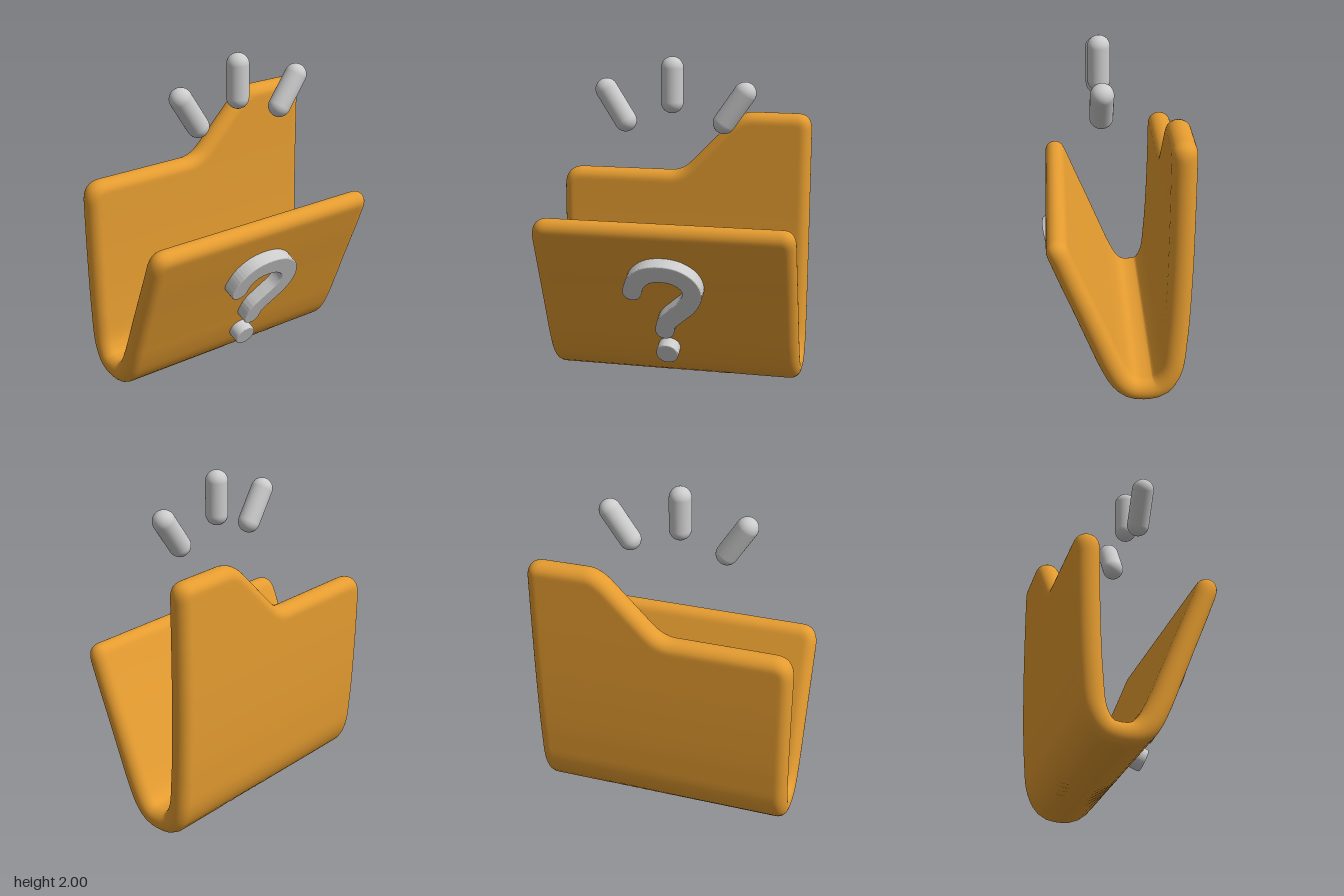
import * as THREE from 'three';
import { mergeVertices } from 'three/addons/utils/BufferGeometryUtils.js';

const X = 0.793;      // half width of the folder
const EDGE = 0.066;   // rounding of the sheet's rim
const orange = new THREE.MeshStandardMaterial({ color: 0xe59c30 });
const grey = new THREE.MeshStandardMaterial({ color: 0xcccccc });

function addMesh(parent, name, geometry, material) {
  const mesh = new THREE.Mesh(geometry, material);
  mesh.name = name;
  parent.add(mesh);
  return mesh;
}

// Side profile of the folded sheet, from the front rim round to the back rim (z, y)
function foldCurve() {
  const pts = [[0.36, 1.05], [0.27, 0.82], [0.184, 0.61], [0.1, 0.4], [0.038, 0.25], [-0.025, 0.135],
    [-0.085, 0.085], [-0.16, 0.074], [-0.245, 0.095], [-0.305, 0.19], [-0.332, 0.4],
    [-0.35, 0.8], [-0.355, 1.2], [-0.355, 1.632]];
  const curve = new THREE.CatmullRomCurve3(pts.map(([z, y]) => new THREE.Vector3(0, y, z)));
  curve.arcLengthDivisions = 600;
  return curve;
}

// Flat outline of the sheet: x across, s along the fold; the far end carries the tab
function sheetOutline(L) {
  const s = y => L - (1.632 - y);
  const o = new THREE.Shape();
  o.moveTo(-X + 0.1, 0);
  o.lineTo(X - 0.08, 0);
  o.quadraticCurveTo(X, 0, X, 0.1);
  o.lineTo(X, s(1.53));
  o.quadraticCurveTo(X, s(1.63), X - 0.09, s(1.63));
  o.lineTo(0.43, s(1.632));
  o.quadraticCurveTo(0.355, s(1.632), 0.28, s(1.555));
  o.lineTo(0.04, s(1.31));
  o.quadraticCurveTo(-0.02, s(1.25), -0.09, s(1.25));
  o.lineTo(-X + 0.12, s(1.25));
  o.quadraticCurveTo(-X, s(1.25), -X, s(1.12));
  o.lineTo(-X, 0.13);
  o.quadraticCurveTo(-X, 0, -X + 0.1, 0);
  return o.getPoints(14);
}

// Positions from a to b, crowded towards both ends
function crowded(a, b, margin, nEnd, nMid) {
  const out = [];
  for (let i = 0; i < nEnd; i++) out.push(a + margin * (1 - Math.cos((i / nEnd) * Math.PI / 2)));
  for (let i = 0; i <= nMid; i++) out.push(a + margin + (b - a - 2 * margin) * i / nMid);
  for (let i = nEnd - 1; i >= 0; i--) out.push(b - margin * (1 - Math.cos((i / nEnd) * Math.PI / 2)));
  return out;
}

// Sheet whose thickness rounds off near its outline, bent along the fold
function folderGeometry() {
  const curve = foldCurve(), L = curve.getLength(), outline = sheetOutline(L);
  const edges = outline.map((p, i) => [p, outline[(i + 1) % outline.length]]);

  const rimDistance = (x, s) => {
    let best = Infinity;
    for (const [a, b] of edges) {
      const dx = b.x - a.x, dy = b.y - a.y, len = dx * dx + dy * dy;
      if (len < 1e-12) continue;
      const t = THREE.MathUtils.clamp(((x - a.x) * dx + (s - a.y) * dy) / len, 0, 1);
      best = Math.min(best, Math.hypot(x - a.x - t * dx, s - a.y - t * dy));
    }
    return best;
  };
  const span = x => {
    const hits = [];
    for (const [a, b] of edges) {
      if ((a.x <= x) !== (b.x <= x)) hits.push(a.y + (b.y - a.y) * (x - a.x) / (b.x - a.x));
    }
    return [Math.min(...hits), Math.max(...hits)];
  };

  const columns = crowded(-X, X, 0.12, 14, 60);
  const rows = 2 * 10 + 70 + 1;
  const pos = [], index = [];
  columns.forEach((x, i) => {
    const xc = THREE.MathUtils.clamp(x, -X + 1e-5, X - 1e-5);
    const [s0, s1] = span(xc);
    crowded(s0, s1, 0.1, 10, 70).forEach((s, j) => {
      const u = THREE.MathUtils.clamp(s / L, 0, 1);
      const p = curve.getPointAt(u), t = curve.getTangentAt(u);
      const rim = i === 0 || i === columns.length - 1 || j === 0 || j === rows - 1;
      const k = rim ? 0 : 1 - Math.min(rimDistance(xc, s) / EDGE, 1);
      const half = rim ? 0 : (0.062 + 0.009 * Math.min(1, u * 2.2)) * Math.sqrt(1 - k * k);
      // outer point, then inner point
      pos.push(x, p.y + t.z * half, p.z - t.y * half, x, p.y - t.z * half, p.z + t.y * half);
    });
  });
  const id = (i, j, side) => (i * rows + j) * 2 + side;
  for (let i = 0; i < columns.length - 1; i++) {
    for (let j = 0; j < rows - 1; j++) {
      for (const side of [0, 1]) {
        const a = id(i, j, side), b = id(i, j + 1, side), c = id(i + 1, j + 1, side), d = id(i + 1, j, side);
        if (side === 0) index.push(a, b, c, a, c, d);
        else index.push(a, c, b, a, d, c);
      }
    }
  }
  const g = new THREE.BufferGeometry();
  g.setAttribute('position', new THREE.Float32BufferAttribute(pos, 3));
  g.setIndex(index);
  const merged = mergeVertices(g, 1e-5);
  merged.computeVertexNormals();
  return merged;
}

// Round-ended stroke of even width along a path
function strokeShape(points, half) {
  const path = new THREE.SplineCurve(points.map(([x, y]) => new THREE.Vector2(x, y)));
  const n = 48, left = [], right = [];
  const around = (p, angle) => new THREE.Vector2(p.x + half * Math.cos(angle), p.y + half * Math.sin(angle));
  for (let i = 0; i <= n; i++) {
    const p = path.getPointAt(i / n), t = path.getTangentAt(i / n), a = Math.atan2(t.y, t.x);
    left.push(around(p, a + Math.PI / 2));
    right.unshift(around(p, a - Math.PI / 2));
    for (let k = 1; k < 12; k++) {
      if (i === n) left.push(around(p, a + Math.PI / 2 - k * Math.PI / 12));
      if (i === 0) right[0] && left.unshift(around(p, a + Math.PI / 2 + k * Math.PI / 12));
    }
  }
  return new THREE.Shape([...left, ...right]);
}

export function createModel() {
  const model = new THREE.Group();
  model.name = 'openFolder';
  addMesh(model, 'folderSheet', folderGeometry(), orange);

  // Question mark standing out from the leaning front panel
  const mark = new THREE.Group();
  mark.name = 'questionMark';
  mark.rotation.x = Math.atan(0.41);
  mark.position.z = 0.0035;
  model.add(mark);
  const toPanel = ([x, y]) => [x, (y + 0.031) / 0.925];
  const hook = [[-0.175, 0.63], [-0.145, 0.7], [-0.08, 0.75], [0.01, 0.765], [0.1, 0.75], [0.17, 0.7],
    [0.19, 0.63], [0.155, 0.555], [0.08, 0.485], [0.018, 0.425], [0, 0.367]].map(toPanel);
  const dot = new THREE.Shape();
  dot.absarc(0, toPanel([0, 0.2])[1], 0.062, 0, Math.PI * 2);
  const extrude = { depth: 0.096, bevelEnabled: true, bevelSize: 0.007, bevelThickness: 0.007, bevelSegments: 3, curveSegments: 24 };
  for (const [name, shape] of [['questionHook', strokeShape(hook, 0.051)], ['questionDot', dot]]) {
    addMesh(mark, name, new THREE.ExtrudeGeometry(shape, extrude), grey).position.z = -0.021;
  }

  // Three rounded rays fanned above the opening: end centres in x, y
  const rays = [['rightRay', -0.39, 1.8, -0.275, 1.617], ['middleRay', 0.01, 1.934, 0.01, 1.735], ['leftRay', 0.443, 1.795, 0.322, 1.621]];
  for (const [name, x0, y0, x1, y1] of rays) {
    const length = Math.hypot(x0 - x1, y0 - y1);
    const ray = addMesh(model, name, new THREE.CapsuleGeometry(0.067, length, 10, 32), grey);
    ray.position.set((x0 + x1) / 2, (y0 + y1) / 2, 0.072);
    ray.rotation.z = Math.atan2(x1 - x0, y0 - y1);
  }
  return model;
}
